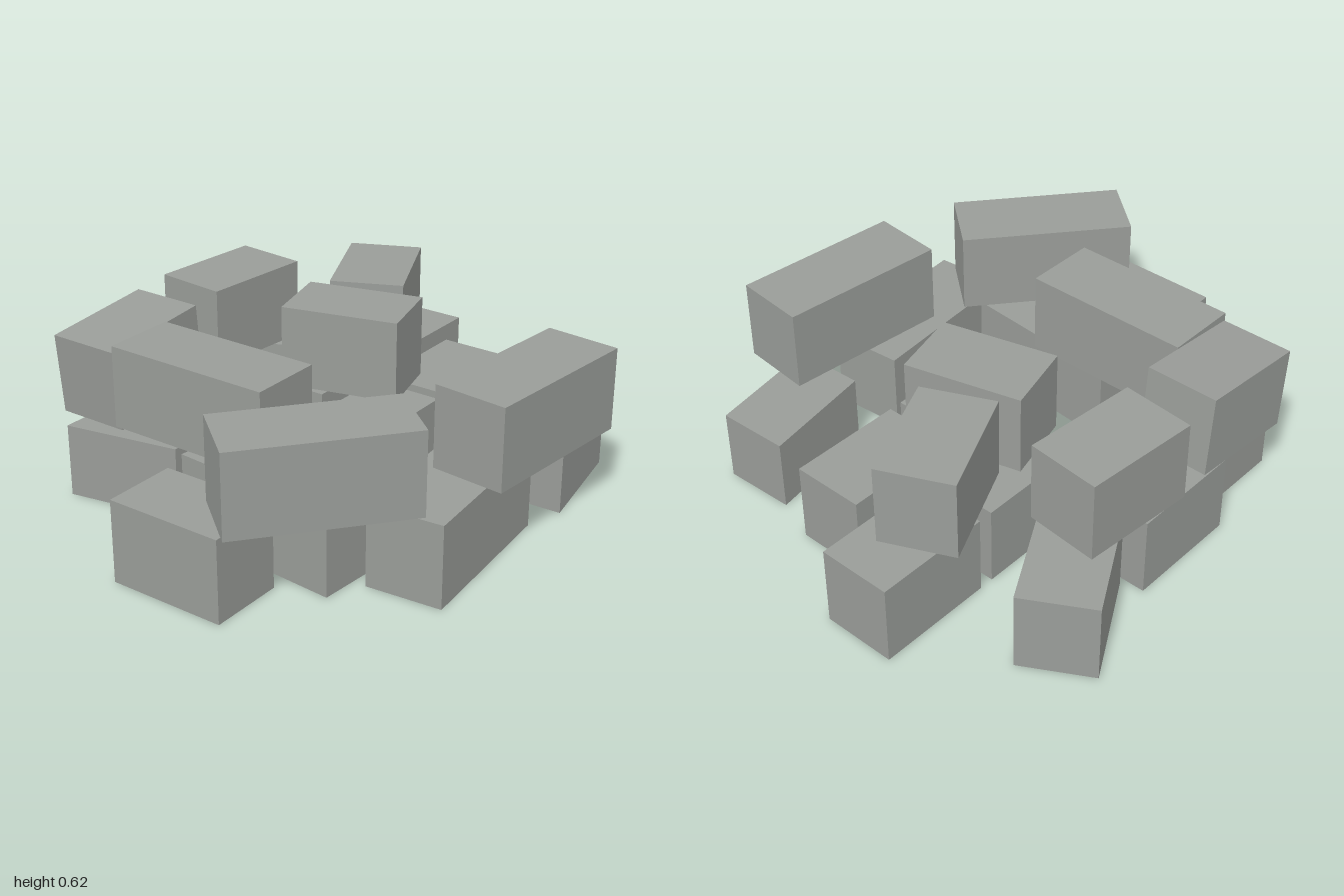
import * as THREE from 'three';

const W = 0.28, H = 0.305, SHORT = 0.443, LONG = 0.65;

export function createModel() {
  const group = new THREE.Group();
  group.name = 'stackedBlocks';
  const stone = new THREE.MeshStandardMaterial({ color: 0x9a9d99, side: THREE.DoubleSide });
  stone.name = 'grey stone';

  // Hollow block, open underneath; skew slides its long sides past each other
  function openBox(length, height, width, skew) {
    const box = new THREE.BoxGeometry(length, height, width);
    const index = [...box.index.array];
    index.splice(18, 6); // leave out the bottom face
    box.setIndex(index);
    box.clearGroups();
    const p = box.attributes.position;
    for (let i = 0; i < p.count; i++) p.setX(i, p.getX(i) + skew * p.getZ(i));
    const geo = box.toNonIndexed();
    geo.computeVertexNormals();
    return geo;
  }

  // One block: centre x, z, base height, length, turn and tilt in degrees
  function block(name, x, z, y, length, turn, { tilt = 0, skew = 0, width = W, height = H } = {}) {
    const mesh = new THREE.Mesh(openBox(length, height, width, skew), stone);
    mesh.name = name;
    mesh.position.set(x, y + height / 2, z);
    mesh.rotation.set(0, THREE.MathUtils.degToRad(turn), THREE.MathUtils.degToRad(tilt));
    group.add(mesh);
  }

  // Lower course: centre x, z, length, turn
  const lower = [
    [-0.86, 0.086, SHORT, 90],
    [-0.503, 0.17, LONG, -94.6],
    [-0.2, 0.654, LONG, 5],
    [0.055, 0.151, SHORT, 0],
    [0.549, 0.151, SHORT, 0],
    [0.28, -0.213, SHORT, 0],
    [0.778, -0.213, SHORT, 0],
    [-0.02, -0.635, SHORT, 0],
    [0.487, -0.682, SHORT, 29.7],
  ];
  lower.forEach(([x, z, l, turn], i) => block(`lowerBlock${i + 1}`, x, z, 0, l, turn));

  // Skewed, slightly lower blocks
  block('skewedFrontBlock', 0.495, 0.636, 0, 0.448, 9.7, { skew: -0.13, width: 0.273, height: 0.275 });
  block('skewedBackBlock', -0.4625, -0.4655, 0, SHORT, -79.3, { skew: -0.185, width: 0.266, height: 0.275 });

  // Upper course: centre x, z, base height, length, turn
  const upper = [
    [-0.66, 0.431, 0.305, LONG, -39.7],
    [0.115, 0.745, 0.305, LONG, -5.3],
    [-0.447, -0.169, 0.305, LONG, 90],
    [0.233, -0.634, 0.32, SHORT, -5],
    [0.601, -0.211, 0.32, SHORT, 24.8],
    [0.212, -0.048, 0.32, SHORT, -75.3],
  ];
  upper.forEach(([x, z, y, l, turn], i) => block(`upperBlock${i + 1}`, x, z, y, l, turn));

  // Block leaning on its neighbour
  block('tiltedBlock', -0.348, -0.635, 0.296, SHORT, 0, { tilt: 5 });

  return group;
}
